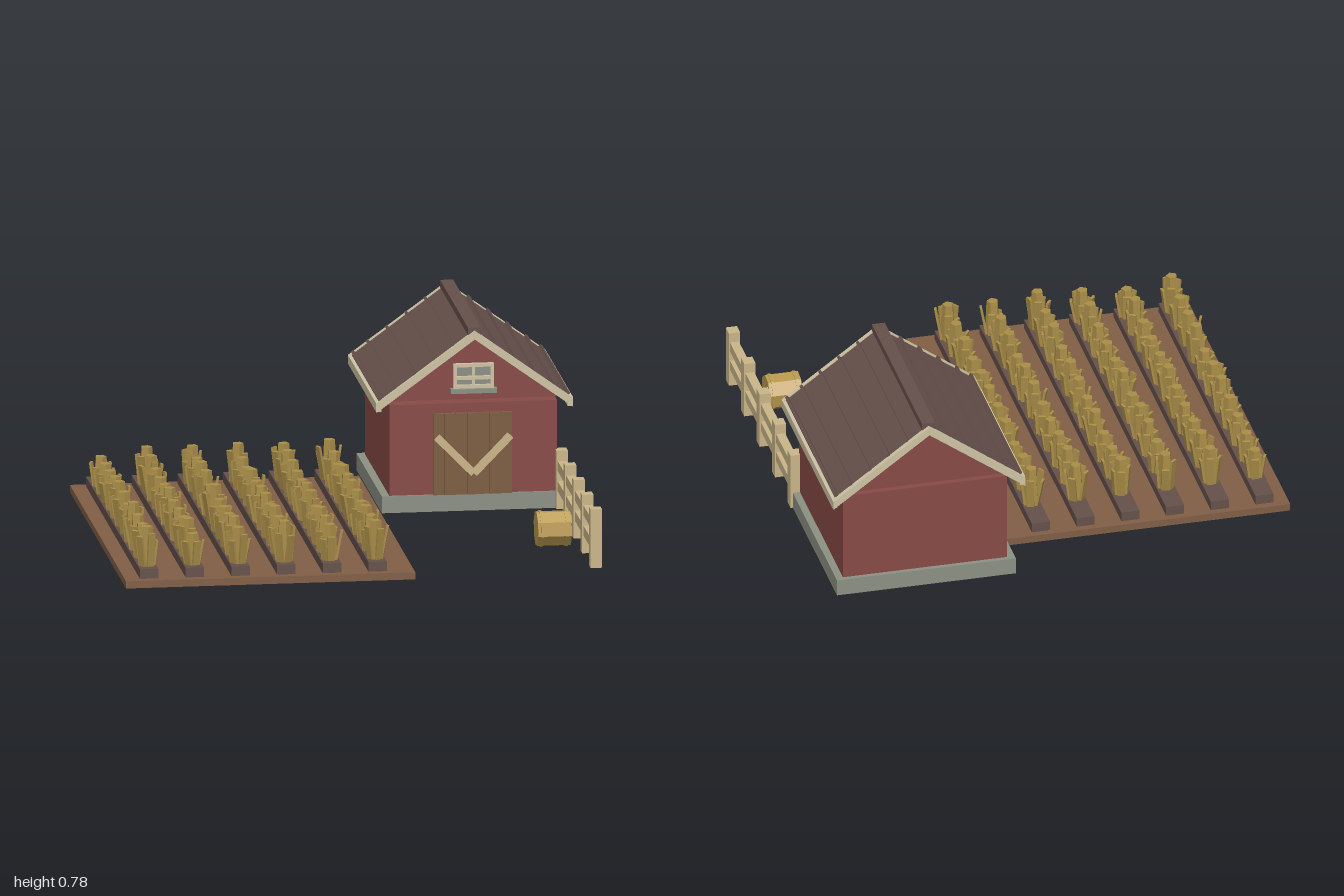
import * as THREE from 'three';
import { mergeGeometries } from 'three/addons/utils/BufferGeometryUtils.js';

const mat = (name, color) => {
  const m = new THREE.MeshStandardMaterial({ color });
  m.name = name;
  return m;
};

// Faceted normals
function flat(geo) {
  const g = geo.index ? geo.toNonIndexed() : geo;
  g.computeVertexNormals();
  return g;
}

export function createModel() {
  const M = {
    soil: mat('soil', 0x815e45),
    furrow: mat('dark soil', 0x65504a),
    crop: mat('golden crop', 0xa98d48),
    straw: mat('straw', 0xb8984e),
    wall: mat('barn red', 0x874a46),
    stone: mat('stone', 0x8c9083),
    roof: mat('roof brown', 0x66504b),
    trim: mat('cream trim', 0xcdc3a4),
    wood: mat('door wood', 0x7c5d40),
    fence: mat('pale timber', 0xcab588),
  };
  const root = new THREE.Group();
  root.name = 'farm';
  const group = (name) => {
    const g = new THREE.Group();
    g.name = name;
    root.add(g);
    return g;
  };
  const add = (parent, name, geo, material, x = 0, y = 0, z = 0) => {
    const m = new THREE.Mesh(geo, material);
    m.name = name;
    m.position.set(x, y, z);
    parent.add(m);
    return m;
  };
  // Box given by its limits on each axis
  const box = (parent, name, material, x0, x1, y0, y1, z0, z1) =>
    add(parent, name, new THREE.BoxGeometry(x1 - x0, y1 - y0, z1 - z0), material,
      (x0 + x1) / 2, (y0 + y1) / 2, (z0 + z1) / 2);
  // Outline in x, y extruded from z0 to z1
  const slab = (parent, name, material, points, x, z0, z1) => {
    const shape = new THREE.Shape(points.map(([px, py]) => new THREE.Vector2(px, py)));
    const geo = new THREE.ExtrudeGeometry(shape, { depth: z1 - z0, bevelEnabled: false });
    return add(parent, name, geo, material, x, 0, z0);
  };
  let seed = 7;
  const rand = () => (seed = (seed * 16807) % 2147483647) / 2147483647;

  // Field with raised rows
  const field = group('field');
  box(field, 'fieldBase', M.soil, -1, 0.19, 0, 0.03, -0.71, 0.99);
  const rows = [-0.9, -0.712, -0.524, -0.336, -0.148, 0.04];

  // Crop plant: five-sided stalk wrapped in leaves that lean outward
  function plant(h) {
    const parts = [flat(new THREE.CylinderGeometry(0.024, 0.033, h, 5).translate(0, h / 2, 0))];
    for (let i = 0; i < 5; i++) {
      const len = h * (0.6 + rand() * 0.28);
      const leaf = new THREE.BoxGeometry(0.03, len, 0.01).translate(0, len / 2, 0);
      leaf.rotateX(0.06 + rand() * 0.14).translate(0, 0, 0.026);
      leaf.rotateY((i / 5) * Math.PI * 2 + rand() * 0.4);
      parts.push(flat(leaf));
    }
    return mergeGeometries(parts);
  }
  const frontHeights = [0.165, 0.13, 0.15, 0.17, 0.15, 0.16];
  rows.forEach((x, r) => {
    box(field, 'furrow', M.furrow, x - 0.038, x + 0.038, 0.03, 0.07, -0.68, 0.955);
    for (let i = 0; i < 11; i++) {
      const h = i === 10 ? frontHeights[r] : 0.125 + rand() * 0.045;
      add(field, 'cropPlant', plant(h), M.crop, x, 0.069, -0.515 + i * 0.14).rotation.y = rand() * 0.3;
    }
  });

  // Barn body
  const barn = group('barn');
  const cx = 0.586;
  box(barn, 'foundation', M.stone, 0.21, 0.962, 0, 0.07, -0.94, -0.17);
  box(barn, 'walls', M.wall, 0.242, 0.932, 0.07, 0.45, -0.92, -0.18);
  const gable = [[-0.345, 0.465], [0.345, 0.465], [0.345, 0.477], [0, 0.729], [-0.345, 0.477]];
  slab(barn, 'frontGable', M.wall, gable, cx, -0.2, -0.18);
  slab(barn, 'backGable', M.wall, gable, cx, -0.92, -0.9);

  // Roof, its boards and its edges
  const slope = 0.728;
  const chevron = (w, top, t) => [
    [-w, top - slope * w], [-w, top - t - slope * w], [0, top - t],
    [w, top - t - slope * w], [w, top - slope * w], [0, top]];
  slab(barn, 'roof', M.roof, chevron(0.39, 0.76, 0.028), cx, -0.972, -0.138);
  slab(barn, 'frontBargeBoard', M.trim, chevron(0.404, 0.764, 0.036), cx, -0.14, -0.12);
  slab(barn, 'backBargeBoard', M.trim, chevron(0.404, 0.764, 0.036), cx, -0.992, -0.97);
  box(barn, 'ridgeCap', M.roof, cx - 0.027, cx + 0.027, 0.745, 0.776, -0.975, -0.13);
  for (const s of [-1, 1]) {
    const fx = cx + s * 0.394;
    box(barn, 'eaveBoard', M.trim, fx - 0.011, fx + 0.011, 0.435, 0.472, -0.98, -0.13);
    for (const d of [0.087, 0.166, 0.245, 0.324, 0.384]) {
      const lip = add(barn, 'roofBatten', new THREE.BoxGeometry(0.012, 0.018, 0.836), M.roof,
        cx + s * d, 0.764 - slope * d, -0.555);
      lip.rotation.z = -s * Math.atan(slope);
    }
  }

  // Plank door with slanting braces
  const door = group('door');
  for (let i = 0; i < 7; i++) {
    const x = 0.422 + i * 0.0463;
    const z = i % 2 ? -0.16 : -0.164;
    box(door, 'doorPlank', M.wood, x, x + 0.0445, 0.07, 0.41, -0.182, z);
  }
  for (const s of [-1, 1]) {
    const brace = add(door, 'doorBrace', new THREE.BoxGeometry(0.215, 0.03, 0.016), M.fence,
      cx + s * 0.076, 0.238, -0.153);
    brace.rotation.z = s * 0.8;
  }

  // Gable window
  const win = group('window');
  box(win, 'windowPane', M.stone, 0.51, 0.662, 0.515, 0.61, -0.181, -0.176);
  for (const x of [0.504, 0.656]) box(win, 'windowSide', M.trim, x, x + 0.014, 0.51, 0.617, -0.182, -0.16);
  for (const y of [0.603, 0.55, 0.514]) box(win, 'windowBar', M.trim, 0.504, 0.67, y, y + 0.014, -0.182, -0.162);
  box(win, 'windowMullion', M.trim, 0.581, 0.592, 0.515, 0.61, -0.182, -0.166);
  box(win, 'windowSill', M.stone, 0.492, 0.682, 0.495, 0.514, -0.182, -0.15);

  // Fence posts and rails
  const fence = group('fence');
  for (let i = 0; i < 5; i++) {
    const z = 0.865 - i * 0.259;
    box(fence, 'fencePost', M.fence, 0.925, 0.972, 0, 0.245, z - 0.026, z + 0.026);
  }
  for (const y of [0.115, 0.16]) {
    const y0 = y === 0.115 ? 0.075 : y;
    box(fence, 'fenceRail', M.fence, 0.93, 0.967, y0, y0 + 0.042, -0.165, 0.888);
  }

  // Round straw bale lying on its side, with two bands
  const bale = group('bale');
  const roll = (name, r, len, x) => {
    const geo = flat(new THREE.CylinderGeometry(r, r, len, 8).rotateZ(Math.PI / 2).rotateX(0.25));
    add(bale, name, geo, M.straw, x, 0.098, 0.583);
  };
  roll('baleBody', 0.074, 0.138, 0.811);
  for (const x of [0.76, 0.862]) roll('baleBand', 0.078, 0.012, x);

  return root;
}
